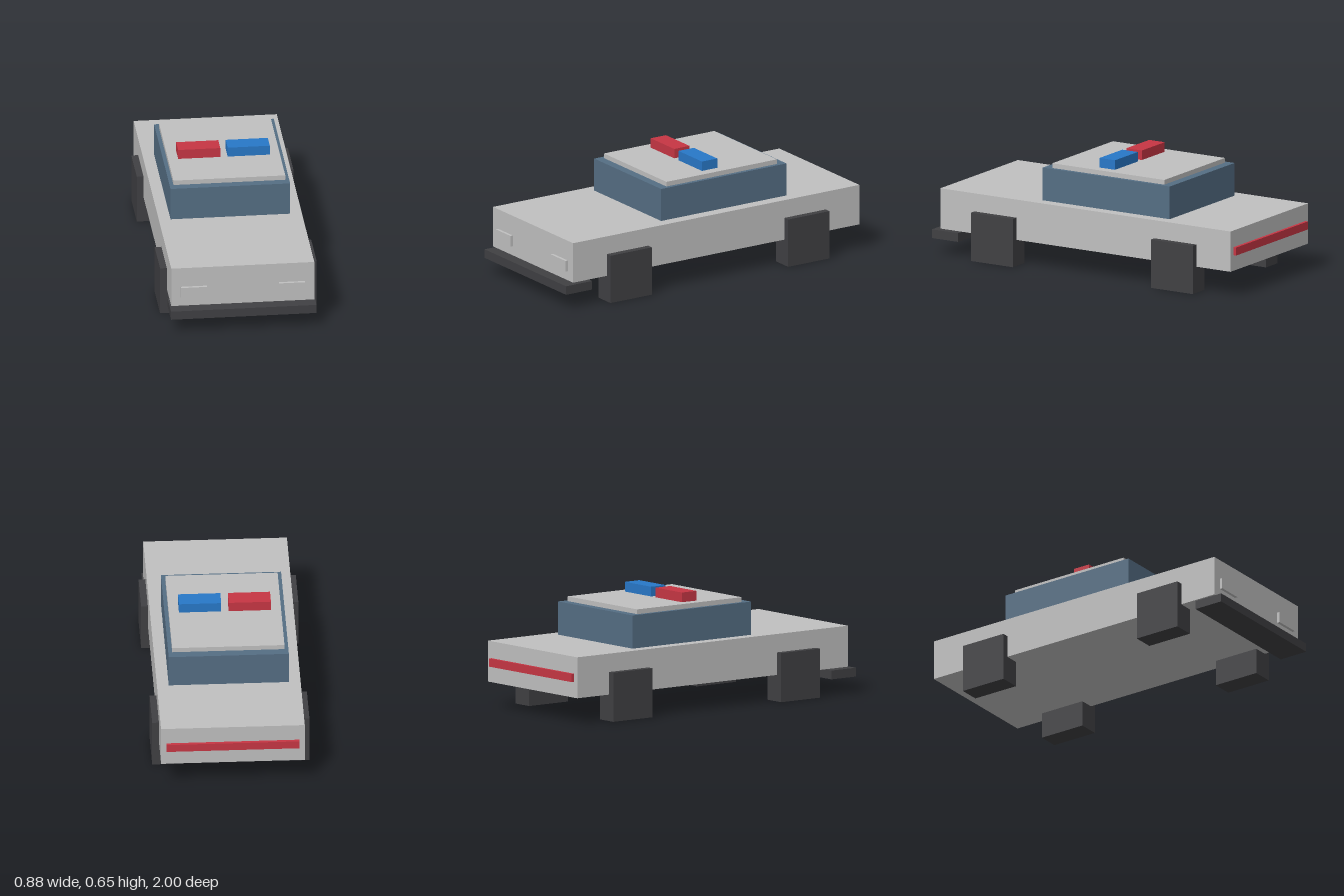
import * as THREE from 'three';

const material = (name, color) => {
  const m = new THREE.MeshStandardMaterial({ color });
  m.name = name;
  return m;
};

export function createModel() {
  const car = new THREE.Group();
  car.name = 'patrolCar';

  const silver = material('silver paint', 0xc0c0c0);
  const glass = material('blue grey glass', 0x556e84);
  const dark = material('dark rubber', 0x404043);
  const red = material('red lamp', 0xc73644);
  const blue = material('blue lamp', 0x2878c8);

  // Box given by its extents along each axis
  const block = (name, mat, [x0, x1], [y0, y1], [z0, z1]) => {
    const mesh = new THREE.Mesh(new THREE.BoxGeometry(x1 - x0, y1 - y0, z1 - z0), mat);
    mesh.position.set((x0 + x1) / 2, (y0 + y1) / 2, (z0 + z1) / 2);
    mesh.name = name;
    car.add(mesh);
  };

  // Body, cabin and roof
  block('body', silver, [-0.403, 0.403], [0.15, 0.382], [-0.982, 0.948]);
  block('cabin', glass, [-0.337, 0.337], [0.382, 0.57], [-0.535, 0.31]);
  block('roof', silver, [-0.315, 0.315], [0.57, 0.597], [-0.485, 0.26]);

  // Roof lamps
  block('redRoofLamp', red, [-0.258, -0.021], [0.597, 0.652], [-0.121, -0.018]);
  block('blueRoofLamp', blue, [0.021, 0.258], [0.597, 0.652], [-0.121, -0.018]);

  // Front bumper and rear light bar
  block('frontBumper', dark, [-0.41, 0.41], [0.09, 0.14], [0.825, 1]);
  block('rearLight', red, [-0.373, 0.373], [0.24, 0.286], [-1, -0.982]);

  // Headlights and square wheels, mirrored
  for (const [side, s] of [['left', 1], ['right', -1]]) {
    const span = (a, b) => (s > 0 ? [a, b] : [-b, -a]);
    block(side + 'Headlight', silver, span(0.203, 0.35), [0.204, 0.267], [0.948, 0.965]);
    block(side + 'FrontWheel', dark, span(0.32, 0.441), [0, 0.278], [0.442, 0.721]);
    block(side + 'RearWheel', dark, span(0.32, 0.441), [0, 0.278], [-0.755, -0.476]);
  }
  return car;
}
